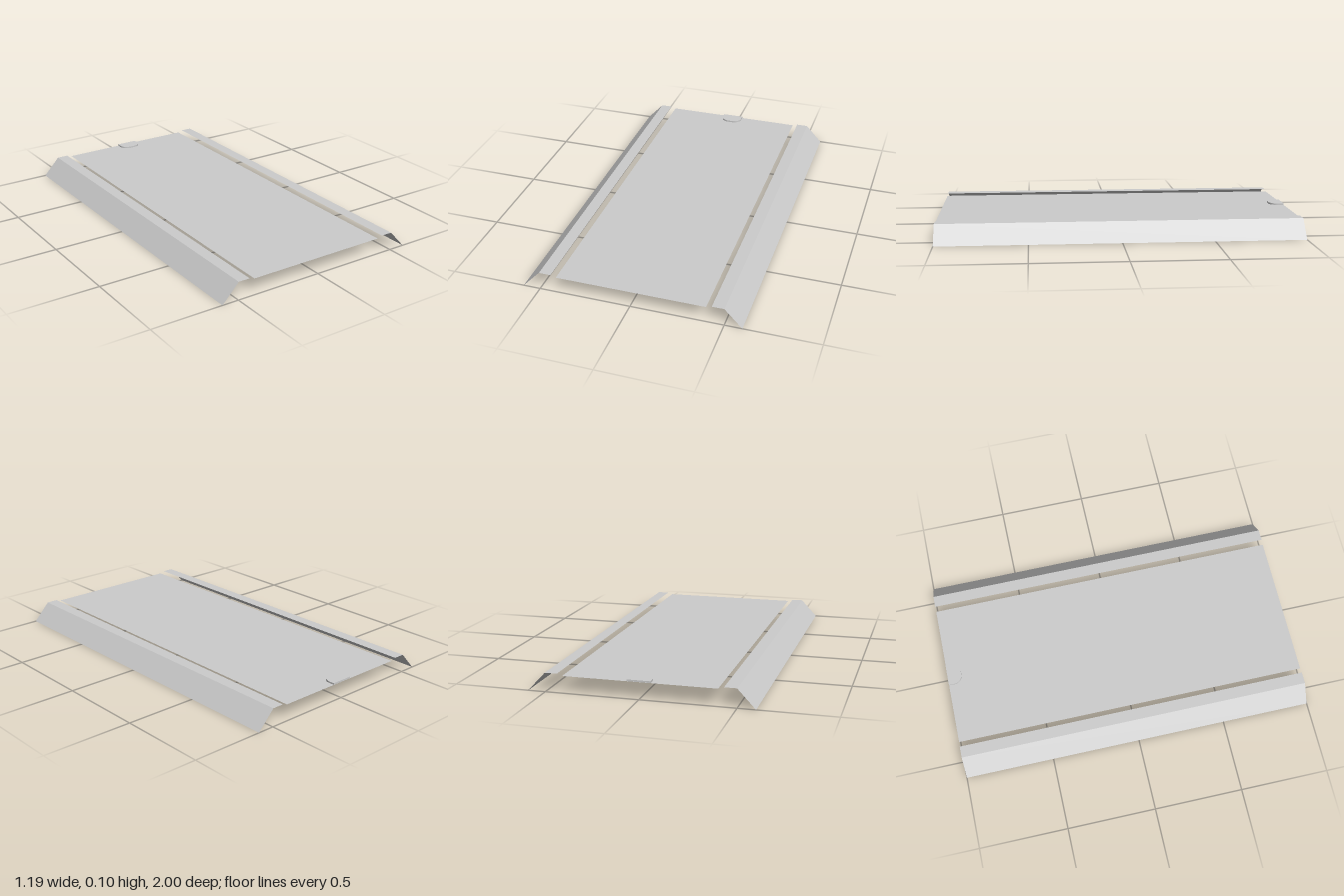
import * as THREE from 'three';

const HALF_LENGTH = 1, RAIL_Y = 0.101, PANEL_Y = 0.0915;

const metal = new THREE.MeshStandardMaterial({ color: 0xcccccc, flatShading: true, side: THREE.DoubleSide });

// Thin folded sheet: an [x, y] profile, listed by rising x, swept along z
function foldedSheet(name, profile) {
  const positions = [];
  for (let i = 0; i < profile.length - 1; i++) {
    const [a, b] = [profile[i], profile[i + 1]];
    const corners = [
      [...a, HALF_LENGTH], [...b, HALF_LENGTH], [...b, -HALF_LENGTH], [...a, -HALF_LENGTH],
    ];
    for (const k of [0, 1, 2, 0, 2, 3]) positions.push(...corners[k]);
  }
  const geometry = new THREE.BufferGeometry();
  geometry.setAttribute('position', new THREE.Float32BufferAttribute(positions, 3));
  geometry.computeVertexNormals();
  const mesh = new THREE.Mesh(geometry, metal);
  mesh.name = name;
  return mesh;
}

// Small raised tab at the back edge, square behind and rounded in front
function pullTab() {
  const w = 0.062, depth = 0.08, r = 0.048;
  const shape = new THREE.Shape();
  shape.moveTo(-w, 0);
  shape.lineTo(-w, -depth + r);
  shape.absarc(-w + r, -depth + r, r, Math.PI, Math.PI * 1.5, false);
  shape.absarc(w - r, -depth + r, r, Math.PI * 1.5, Math.PI * 2, false);
  shape.lineTo(w, 0);
  shape.closePath();
  const geometry = new THREE.ExtrudeGeometry(shape, { depth: 0.009, bevelEnabled: false, curveSegments: 8 });
  geometry.rotateX(-Math.PI / 2);
  const mesh = new THREE.Mesh(geometry, metal);
  mesh.position.set(0, 0.092, -HALF_LENGTH);
  mesh.name = 'pullTab';
  return mesh;
}

export function createModel() {
  const model = new THREE.Group();
  model.name = 'slidingCover';

  // Flat sliding panel
  model.add(foldedSheet('panel', [[-0.405, PANEL_Y], [0.405, PANEL_Y]]));

  // Side rails: a flat lip and a flange sloping down to the ground
  const rail = [[0.434, RAIL_Y], [0.499, RAIL_Y], [0.594, 0]];
  model.add(foldedSheet('leftRail', rail));
  model.add(foldedSheet('rightRail', rail.map(([x, y]) => [-x, y]).reverse()));

  model.add(pullTab());
  return model;
}
